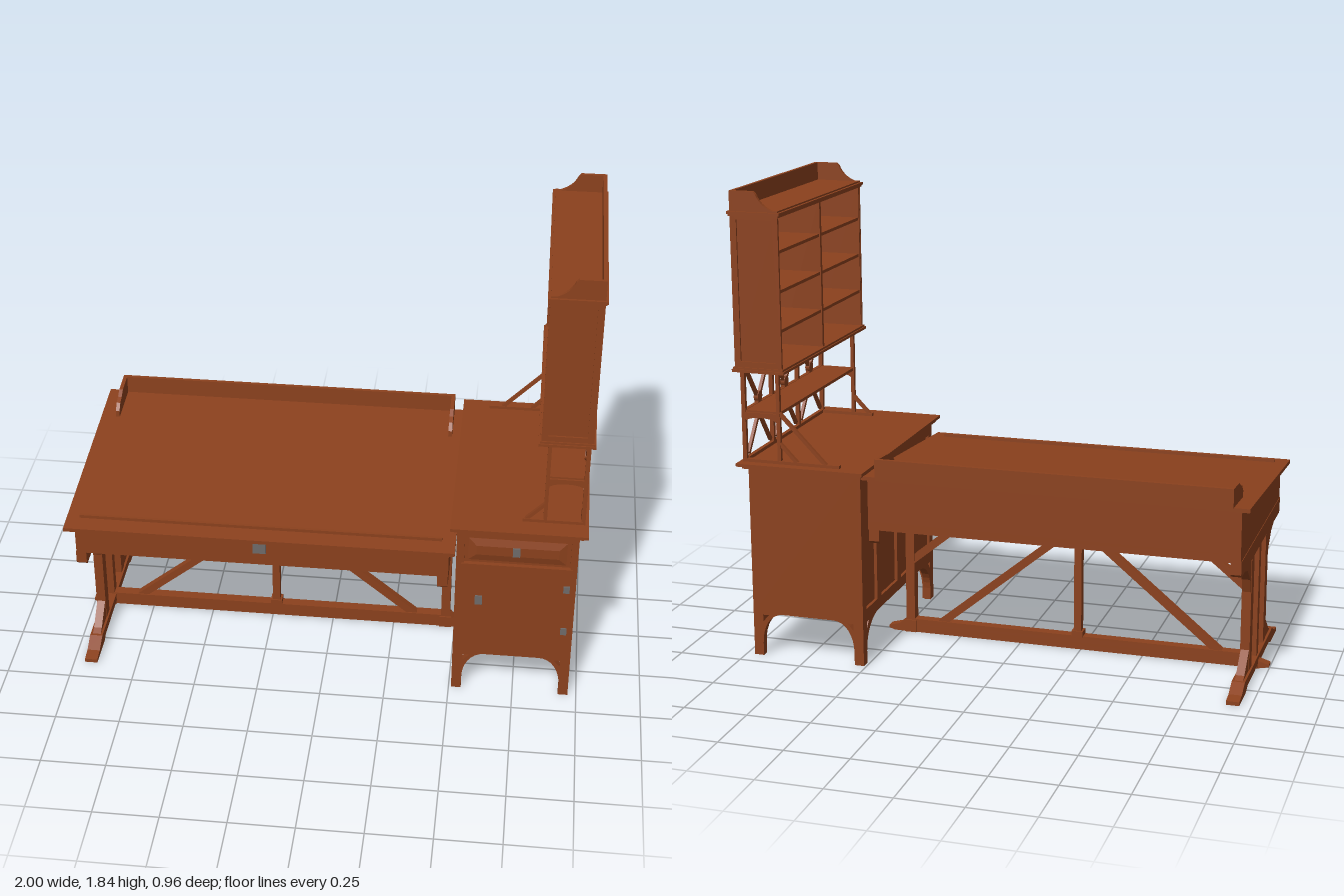
import * as THREE from 'three';

export function createModel() {
  const model = new THREE.Group();
  model.name = 'writingDesk';
  const wood = new THREE.MeshStandardMaterial({ color: 0x8b411d });
  wood.name = 'wood';
  const metal = new THREE.MeshStandardMaterial({ color: 0x6e6a69 });
  metal.name = 'metal';

  const add = (name, geo, mat = wood) => {
    const m = new THREE.Mesh(geo, mat);
    m.name = name;
    model.add(m);
    return m;
  };
  // box given by its limits
  const box = (name, x0, x1, y0, y1, z0, z1, mat) =>
    add(name, new THREE.BoxGeometry(x1 - x0, y1 - y0, z1 - z0), mat)
      .position.set((x0 + x1) / 2, (y0 + y1) / 2, (z0 + z1) / 2);
  // straight bar between two points
  const bar = (name, a, b, w, d) => {
    const p = new THREE.Vector3(...a), q = new THREE.Vector3(...b);
    const m = add(name, new THREE.BoxGeometry(w, d, p.distanceTo(q)));
    m.position.copy(p).add(q).multiplyScalar(0.5);
    m.lookAt(q);
  };
  const poly = pts => new THREE.Shape(pts.map(p => new THREE.Vector2(...p)));
  const rect = (a, b, c, d) => poly([[a, c], [b, c], [b, d], [a, d]]);
  // shape in (x, y), thickened from z0 to z1
  const plateZ = (name, shape, z0, z1) =>
    add(name, new THREE.ExtrudeGeometry(shape, { depth: z1 - z0, bevelEnabled: false, curveSegments: 8 })).position.z = z0;
  // shape in (-z, y), thickened from x0 to x1
  const plateX = (name, shape, x0, x1) => {
    const g = new THREE.ExtrudeGeometry(shape, { depth: x1 - x0, bevelEnabled: false, curveSegments: 8 });
    add(name, g.rotateY(Math.PI / 2)).position.x = x0;
  };
  const profileX = (name, pts, x0, x1) => plateX(name, poly(pts.map(([z, y]) => [-z, y])), x0, x1);

  // ---- sloping desk top and apron ----
  const slope = z => 0.705 + (0.475 - z) * 0.0685;
  profileX('deskTop', [[0.478, slope(0.478) - 0.015], [0.478, slope(0.478)],
    [-0.432, slope(-0.432)], [-0.432, slope(-0.432) - 0.015]], -0.98, 0.507);
  profileX('deskBody', [[0.425, 0.59], [0.425, slope(0.425) - 0.015],
    [-0.425, slope(-0.425) - 0.015], [-0.425, 0.59]], -0.95, 0.483);
  for (const [z0, z1] of [[0.405, 0.425], [-0.425, -0.405]]) box('longApron', -0.95, 0.483, 0.556, 0.59, z0, z1);
  for (const x of [-0.95, 0.463]) box('endApron', x, x + 0.02, 0.556, 0.59, -0.405, 0.405);
  profileX('pencilLedge', [[0.41, slope(0.41) - 0.005], [0.41, 0.722], [0.398, 0.722], [0.398, slope(0.398) - 0.005]], -0.93, 0.455);
  box('backGallery', -0.92, 0.45, 0.755, 0.838, -0.435, -0.42);
  for (const x of [-0.92, 0.435])
    profileX('galleryWing', [[-0.42, 0.76], [-0.42, 0.838], [-0.33, 0.832], [-0.3, 0.815],
      [-0.27, 0.805], [-0.245, 0.78], [-0.245, 0.75]], x, x + 0.015);
  box('deskLockPlate', -0.262, -0.212, 0.61, 0.667, 0.424, 0.43, metal);

  // ---- supports: full trestle at the free end, single post beside the cabinet ----
  const LEFT = -0.932, RIGHT = 0.462;
  for (const x of [LEFT, RIGHT]) {
    profileX('supportHead', [[0.425, 0.51], [0.425, 0.56], [-0.42, 0.56], [-0.42, 0.51], [-0.41, 0.5], [0.415, 0.5]], x - 0.02, x + 0.02);
    box('centrePost', x - 0.018, x + 0.018, 0.02, 0.5, -0.02, 0.02);
    box('postBase', x - 0.024, x + 0.024, 0, 0.05, -0.026, 0.026);
  }
  profileX('trestleFoot', [[0.41, 0], [0.41, 0.015], [0.36, 0.022], [0.3, 0.05], [-0.3, 0.05], [-0.36, 0.022],
    [-0.41, 0.015], [-0.41, 0], [-0.27, 0], [-0.24, 0.015], [0.24, 0.015], [0.27, 0]], LEFT - 0.025, LEFT + 0.025);
  for (const s of [-1, 1]) {
    box('sidePost', LEFT - 0.018, LEFT + 0.018, 0.05, 0.5, s * 0.153 - 0.026, s * 0.153 + 0.026);
    // shaped corbel above, sloping brace below
    profileX('corbel', [[s * 0.17, 0.34], [s * 0.2, 0.42], [s * 0.26, 0.475], [s * 0.35, 0.502], [s * 0.17, 0.502]], LEFT - 0.016, LEFT + 0.016);
    profileX('footBrace', [[s * 0.17, 0.05], [s * 0.29, 0.05], [s * 0.265, 0.062], [s * 0.17, 0.14]], LEFT - 0.016, LEFT + 0.016);
  }

  // ---- stretcher truss ----
  const cx = -0.235;
  plateZ('stretcher', poly([[-1, 0.008], [-0.96, 0], [0.53, 0], [0.555, 0.008], [0.555, 0.018], [0.51, 0.03],
    [0.48, 0.055], [-0.93, 0.055], [-0.96, 0.03], [-1, 0.018]]), -0.02, 0.02);
  box('trussPost', cx - 0.015, cx + 0.015, 0.05, 0.5, -0.016, 0.016);
  box('trussPostBase', cx - 0.023, cx + 0.023, 0.05, 0.075, -0.022, 0.022);
  plateZ('trussHub', poly([[-0.03, 0.455], [0.03, 0.455], [0.055, 0.48], [0.055, 0.51], [0.025, 0.545], [0.025, 0.6],
    [-0.025, 0.6], [-0.025, 0.545], [-0.055, 0.51], [-0.055, 0.48]].map(([x, y]) => [x + cx, y])), -0.022, 0.022);
  for (const s of [-1, 1]) {
    bar('trussDiagonal', [cx + s * 0.03, 0.49, 0], [cx + s * 0.57, 0.045, 0], 0.03, 0.03);
    bar('kneeBrace', [cx + s * 0.35, 0.58, 0], [cx + s * 0.69, 0.302, 0], 0.03, 0.03);
  }

  // ---- side cabinet ----
  const X0 = 0.51, X1 = 0.967, Z0 = -0.43, Z1 = 0.4;
  box('cabinetBody', X0 + 0.012, X1 - 0.012, 0.175, 0.77, Z0 + 0.005, Z1 - 0.012);
  box('cabinetTop', 0.485, 0.998, 0.778, 0.79, -0.478, 0.44);
  box('cabinetTopMoulding', 0.498, 0.982, 0.765, 0.778, -0.455, 0.425);
  // arched skirt with legs and pierced corners, from a to b
  const skirt = (a, b, reach) => {
    const s = new THREE.Shape(), l = 0.038;
    s.moveTo(a, 0);
    s.lineTo(a + l, 0);
    s.lineTo(a + l, 0.05);
    s.bezierCurveTo(a + l, 0.12, a + l + reach * 0.4, 0.175, a + l + reach, 0.175);
    s.lineTo(b - l - reach, 0.175);
    s.bezierCurveTo(b - l - reach * 0.4, 0.175, b - l, 0.12, b - l, 0.05);
    s.lineTo(b - l, 0);
    s.lineTo(b, 0);
    s.lineTo(b, 0.19);
    s.lineTo(a, 0.19);
    for (const [p, d] of [[a, 1], [b, -1]])
      s.holes.push(poly([[p + d * 0.04, 0.168], [p + d * 0.065, 0.168], [p + d * 0.055, 0.158], [p + d * 0.04, 0.14]]));
    return s;
  };
  plateZ('frontSkirt', skirt(X0, X1, 0.085), Z1 - 0.03, Z1);
  plateZ('backSkirt', skirt(X0, X1, 0.085), Z0, Z0 + 0.03);
  for (const [a, b, s0, s1] of [[X0, X0 + 0.012, X0, X0 + 0.03], [X1 - 0.012, X1, X1 - 0.03, X1]]) {
    plateX('sideSkirt', skirt(-Z1, -Z0, 0.14), s0, s1);
    // panelled frame
    const frame = rect(-Z1, -Z0, 0.19, 0.77);
    for (const [u, v] of [[-0.36, -0.238], [-0.19, -0.005], [0.038, 0.222], [0.268, 0.39]])
      frame.holes.push(rect(u, v, 0.22, 0.72));
    plateX('sideFrame', frame, a, b);
  }
  const front = rect(X0 + 0.012, X1 - 0.012, 0.19, 0.77);
  front.holes.push(rect(0.54, 0.94, 0.61, 0.73));
  plateZ('cabinetFront', front, Z1 - 0.012, Z1);
  box('backPanel', X0 + 0.012, X1 - 0.012, 0.19, 0.77, Z0, Z0 + 0.006);
  // drawer front with a bevelled field
  add('drawerField', new THREE.ExtrudeGeometry(rect(0.585, 0.895, 0.65, 0.69),
    { depth: 0.001, bevelThickness: 0.008, bevelSize: 0.03, bevelSegments: 1 })).position.z = Z1 - 0.012;
  box('drawerLip', 0.53, 0.95, 0.602, 0.61, Z1 - 0.005, Z1 + 0.005);
  box('drawerLock', 0.722, 0.75, 0.652, 0.69, Z1 - 0.006, Z1 + 0.003, metal);
  box('doorLock', 0.587, 0.615, 0.42, 0.46, Z1 - 0.001, Z1 + 0.006, metal);
  for (const y of [0.315, 0.515]) box('doorHinge', 0.92, 0.944, y - 0.015, y + 0.015, Z1 - 0.001, Z1 + 0.006, metal);

  // ---- open rack between cabinet and bookcase ----
  const posts = [0.35, 0.092, -0.168, -0.43];
  for (const z of posts) box('rackPost', 0.968, 0.984, 0.79, 1.15, z - 0.008, z + 0.008);
  for (const y of [0.795, 0.985, 1.145]) box('rackRail', 0.968, 0.984, y - 0.008, y + 0.008, -0.43, 0.35);
  box('rackShelf', 0.83, 0.984, 0.98, 0.992, -0.43, 0.35);
  for (let i = 0; i < 3; i++) {
    const c = (posts[i] + posts[i + 1]) / 2;
    box('latticeStem', 0.968, 0.984, 0.93, 1.03, c - 0.016, c + 0.016);
    for (const s of [-1, 1]) {
      const hub = add('latticeHub', new THREE.CylinderGeometry(0.022, 0.022, 0.018, 8).rotateZ(Math.PI / 2));
      hub.position.set(0.976, 0.98 + s * 0.035, c);
      for (const t of [-1, 1])
        bar('latticeDiagonal', [0.976, 0.98 + s * 0.04, c + t * 0.01], [0.976, 0.98 + s * 0.165, c + t * 0.105], 0.012, 0.014);
    }
  }
  for (const [z, inset] of [[0.35, 0.75], [-0.43, 0.59]]) {
    box('frontRackPost', 0.827, 0.841, 0.79, 1.15, z - 0.008, z + 0.008);
    box('rackSill', inset, 0.984, 0.789, 0.802, z - 0.01, z + 0.01);
    bar('shortBrace', [0.834, 0.872, z], [0.762, 0.797, z], 0.014, 0.013);
    // arched bracket under the shelf
    const arch = new THREE.Shape();
    arch.moveTo(0.835, 0.985);
    arch.lineTo(0.835, 0.945);
    arch.quadraticCurveTo(0.85, 0.966, 0.905, 0.966);
    arch.quadraticCurveTo(0.96, 0.966, 0.975, 0.945);
    arch.lineTo(0.975, 0.985);
    plateZ('shelfBracket', arch, z - 0.007, z + 0.007);
  }
  bar('longBrace', [0.834, 0.992, -0.43], [0.645, 0.797, -0.43], 0.014, 0.013);

  // ---- bookcase, open towards the desk ----
  const B0 = -0.467, B1 = 0.384, mid = (B0 + B1) / 2;
  for (const [z, f] of [[B0 + 0.007, B0], [B1 - 0.015, B1 - 0.007]]) {
    box('bookcaseSide', 0.802, 0.988, 1.16, 1.76, z, z + 0.008);
    const frame = rect(0.8, 0.991, 1.16, 1.76);
    frame.holes.push(rect(0.825, 0.966, 1.19, 1.73));
    plateZ('bookcaseSideFrame', frame, f, f + 0.007);
  }
  box('bookcaseDivider', 0.803, 0.98, 1.16, 1.76, mid - 0.008, mid + 0.008);
  for (const [a, b] of [[B0 + 0.004, mid - 0.0015], [mid + 0.0015, B1 - 0.004]]) box('bookcaseBack', 0.977, 0.991, 1.16, 1.76, a, b);
  for (let i = 1; i < 4; i++) box('bookShelf', 0.806, 0.979, 1.155 + i * 0.15, 1.167 + i * 0.15, B0 + 0.01, B1 - 0.01);
  for (const [y, step] of [[1.15, 0.01], [1.75, -0.008]]) {
    box('bookcaseBoard', 0.8, 0.989, y - 0.003, y + 0.016, B0, B1);
    box('bookcaseMoulding', 0.79, 1, y, y + 0.01, B0 - 0.01, B1 + 0.01);
    box('bookcaseBead', 0.795, 0.996, y + step, y + step + 0.008, B0 - 0.005, B1 + 0.005);
  }
  // crest with scooped ends
  box('crestBack', 0.977, 0.991, 1.76, 1.836, B0, B1);
  const wing = new THREE.Shape();
  wing.moveTo(0.8, 1.76);
  wing.quadraticCurveTo(0.865, 1.775, 0.885, 1.825);
  wing.lineTo(0.895, 1.836);
  wing.lineTo(0.991, 1.836);
  wing.lineTo(0.991, 1.76);
  for (const z of [B0, B1 - 0.014]) plateZ('crestWing', wing, z, z + 0.014);

  return model;
}
